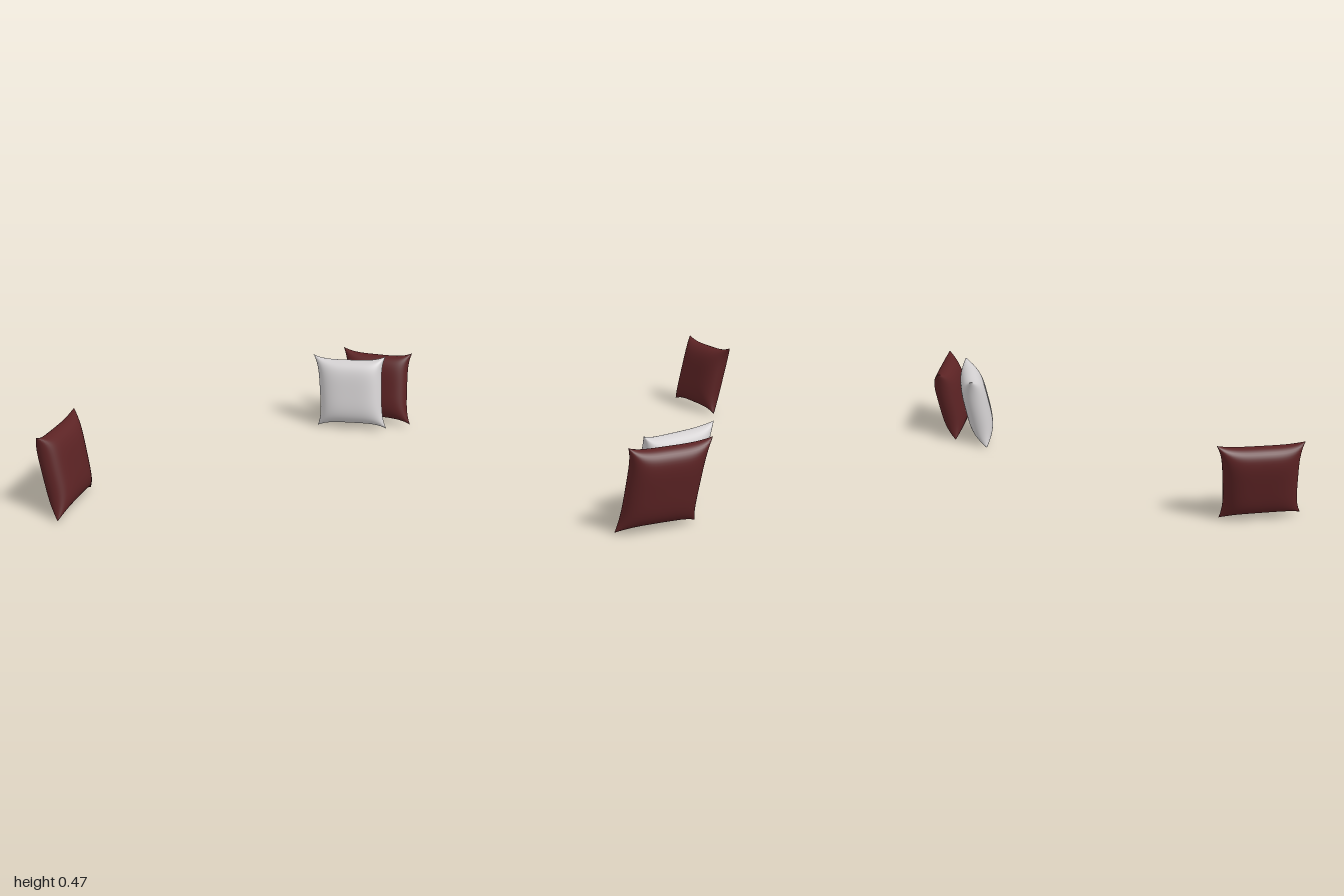
import * as THREE from 'three';
import { mergeVertices } from 'three/addons/utils/BufferGeometryUtils.js';

const N = 32;           // grid divisions per cushion face
const PUFF = 0.078;     // half thickness at the middle
const PINCH = 0.028;    // how far the seams pull in between the corners

// Stuffed cushion stretched between four corners, given as seen from its front.
function cushionGeometry(corners) {
  const [tl, tr, bl, br] = corners.map((c) => new THREE.Vector3(...c));
  const right = tr.clone().add(br).sub(tl).sub(bl).normalize();
  const up = tl.clone().add(tr).sub(bl).sub(br).normalize();
  const normal = right.clone().cross(up).normalize();
  const positions = [], index = [];
  const bow = (s) => 1 - s ** 4;

  for (const side of [1, -1]) {
    const base = positions.length / 3;
    for (let j = 0; j <= N; j++) {
      for (let i = 0; i <= N; i++) {
        // rows crowd towards the seams, where the cloth curves most
        const s = -Math.cos((Math.PI * i) / N), t = -Math.cos((Math.PI * j) / N);
        const u = (s + 1) / 2, v = (t + 1) / 2;
        const bottom = bl.clone().lerp(br, u), top = tl.clone().lerp(tr, u);
        const p = bottom.lerp(top, v)
          .addScaledVector(right, -PINCH * s * bow(t))
          .addScaledVector(up, -PINCH * t * bow(s));
        const edge = i === 0 || j === 0 || i === N || j === N;
        const h = edge ? 0 : PUFF * Math.sqrt(Math.max(0, bow(s) * bow(t)));
        p.addScaledVector(normal, side * h);
        positions.push(p.x, p.y, p.z);
      }
    }
    for (let j = 0; j < N; j++) {
      for (let i = 0; i < N; i++) {
        const a = base + j * (N + 1) + i, b = a + 1, c = a + N + 1, d = c + 1;
        if (side > 0) index.push(a, b, d, a, d, c);
        else index.push(a, d, b, a, c, d);
      }
    }
  }
  let geometry = new THREE.BufferGeometry();
  geometry.setAttribute('position', new THREE.Float32BufferAttribute(positions, 3));
  geometry.setIndex(index);
  geometry = mergeVertices(geometry, 1e-5); // join both faces along the seam
  geometry.computeVertexNormals();
  return geometry;
}

export function createModel() {
  const group = new THREE.Group();
  group.name = 'cushions';
  const white = new THREE.MeshStandardMaterial({ color: 0xd3d0d1 });
  white.name = 'off white cloth';
  const maroon = new THREE.MeshStandardMaterial({ color: 0x5c2324 });
  maroon.name = 'maroon cloth';

  // corners: top left, top right, bottom left, bottom right
  const cushions = [
    ['whiteCushion', white,
      [[0.355, 0.46, -0.715], [0.815, 0.47, -0.70], [0.4, 0.003, -0.63], [0.845, 0.015, -0.60]]],
    ['backCushion', maroon,
      [[0.54, 0.46, -0.90], [0.985, 0.47, -0.79], [0.575, 0.003, -0.81], [0.998, 0.015, -0.69]]],
    ['sideCushion', maroon,
      [[-0.96, 0.47, 0.88], [-0.90, 0.46, 0.42], [-0.865, 0.015, 0.925], [-0.815, 0.003, 0.48]]],
  ];
  for (const [name, material, corners] of cushions) {
    const mesh = new THREE.Mesh(cushionGeometry(corners), material);
    mesh.name = name;
    group.add(mesh);
  }
  return group;
}
